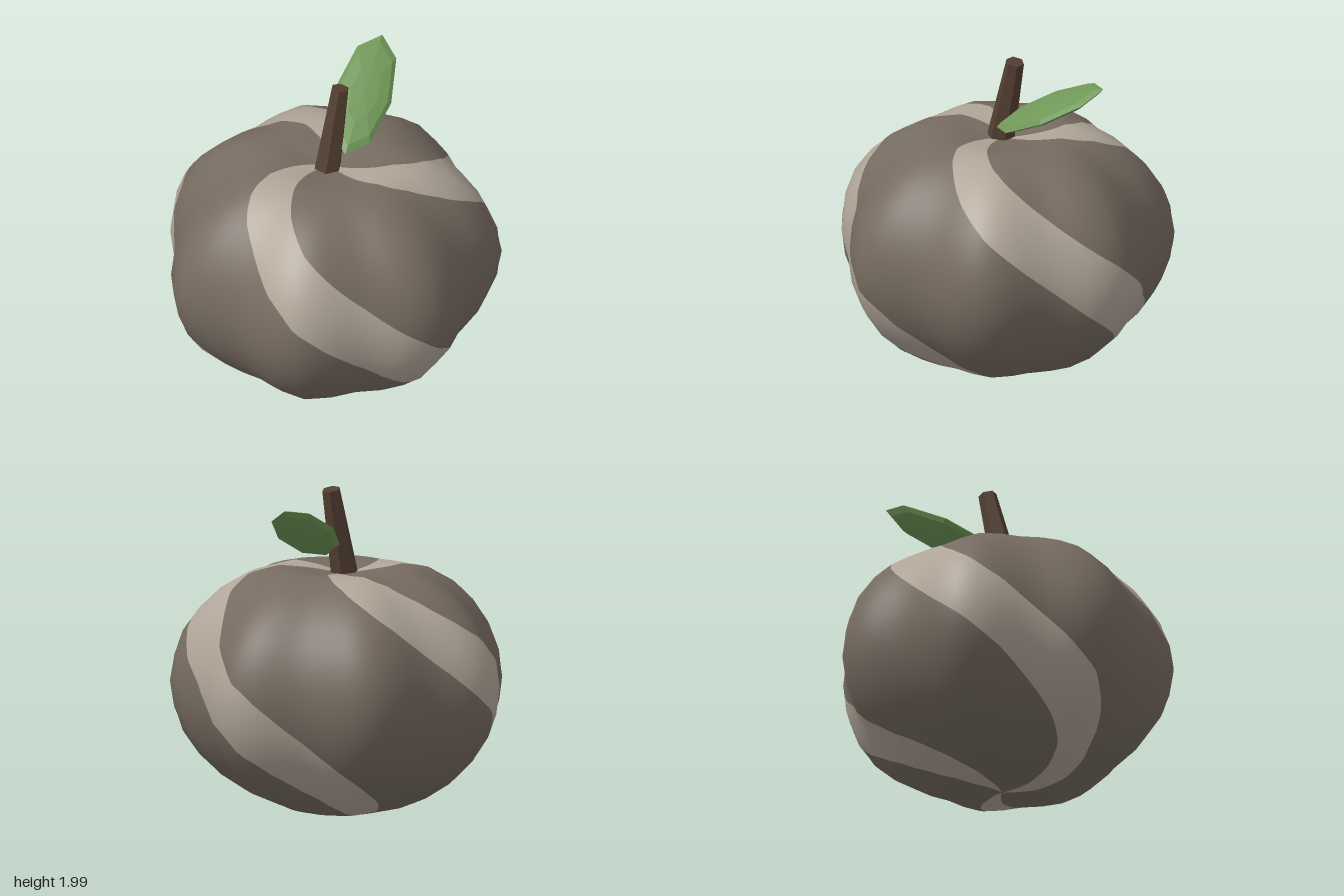
import * as THREE from 'three';

const RAD = Math.PI / 180;
const COLS = 28, ROWS = 16; // facets around and up the fruit
const CENTER_X = -0.04, CENTER_Y = 0.8;

// Seven-lobed flattened globe with a dimple on top; angle runs from +z towards +x
function globePoint(angle, lat) {
  const r = 0.977 * Math.cos(lat);
  const lobed = r * (1 + 0.05 * Math.cos(7 * (angle - Math.PI / 2)));
  const dimple = lat > 0 ? 0.147 * Math.exp(-r * r / 0.119) : 0;
  return new THREE.Vector3(
    CENTER_X + lobed * Math.sin(angle),
    CENTER_Y + 0.8 * Math.sin(lat) - dimple,
    lobed * Math.cos(angle));
}

// Same globe, with straight facets between its coarse columns and rows
function facetPoint(angle, lat) {
  const du = 2 * Math.PI / COLS, dv = Math.PI / ROWS;
  const u = (angle - Math.PI / 2) / du, v = lat / dv;
  const i = Math.floor(u), j = Math.floor(v + 1e-6);
  const corner = (a, b) => globePoint(Math.PI / 2 + a * du, THREE.MathUtils.clamp(b * dv, -Math.PI / 2, Math.PI / 2));
  const low = corner(i, j).lerp(corner(i + 1, j), u - i);
  const high = corner(i, j + 1).lerp(corner(i + 1, j + 1), u - i);
  return low.lerp(high, v - j);
}

// Smooth normal of the globe
function globeNormal(angle, lat) {
  const l = THREE.MathUtils.clamp(lat, -89 * RAD, 89 * RAD), e = 0.005;
  const across = globePoint(angle + e, l).sub(globePoint(angle - e, l));
  const up = globePoint(angle, l + e).sub(globePoint(angle, l - e));
  return across.cross(up).normalize();
}

// Pole-to-pole band that turns one degree for each degree of latitude
function spiralBand(start, end) {
  const cols = Math.ceil((end - start) / 2.5), rows = ROWS * 4;
  const positions = [], normals = [], index = [];
  for (let j = 0; j <= rows; j++) {
    const lat = -90 + 180 * j / rows;
    for (let i = 0; i <= cols; i++) {
      const angle = start + (end - start) * i / cols - lat;
      positions.push(...facetPoint(angle * RAD, lat * RAD).toArray());
      normals.push(...globeNormal(angle * RAD, lat * RAD).toArray());
      if (i < cols && j < rows) {
        const a = j * (cols + 1) + i, b = a + cols + 1;
        index.push(a, a + 1, b + 1, a, b + 1, b);
      }
    }
  }
  const geometry = new THREE.BufferGeometry();
  geometry.setAttribute('position', new THREE.Float32BufferAttribute(positions, 3));
  geometry.setAttribute('normal', new THREE.Float32BufferAttribute(normals, 3));
  geometry.setIndex(index);
  return geometry;
}

export function createModel() {
  const material = (name, color, flatShading = false) => {
    const m = new THREE.MeshStandardMaterial({ color, flatShading });
    m.name = name;
    return m;
  };
  const skin = material('darkSkin', 0x766b60);
  const pale = material('paleStripe', 0xb0a598);
  const bark = material('stemBrown', 0x543f32, true);
  const green = material('leafGreen', 0x6f9757, true);

  const model = new THREE.Group();
  model.name = 'stripedFruit';
  const add = (parent, name, geometry, mat) => {
    const mesh = new THREE.Mesh(geometry, mat);
    mesh.name = name;
    parent.add(mesh);
    return mesh;
  };

  // Fruit: three pale spiral stripes with three dark bands between them
  const fruit = new THREE.Group();
  fruit.name = 'fruit';
  model.add(fruit);
  for (let k = 0; k < 3; k++) {
    const turn = k * 120;
    add(fruit, 'stripe', spiralBand(turn - 54, turn - 21.5), pale);
    add(fruit, 'skinBand', spiralBand(turn - 21.5, turn + 66), skin);
  }

  // Leaning six-sided stem
  const base = new THREE.Vector3(-0.073, 1.42, 0), tip = new THREE.Vector3(0.058, 1.977, 0);
  const along = tip.clone().sub(base);
  const stem = add(model, 'stem', new THREE.CylinderGeometry(0.055, 0.086, along.length(), 6), bark);
  stem.position.copy(base).lerp(tip, 0.5);
  stem.rotation.z = -Math.atan2(along.x, along.y);

  // Leaf: a flattened low-poly ball spread along its length and width
  const length = new THREE.Vector3(0.335, 0.19, -0.12);
  const width = new THREE.Vector3(0.075, -0.04, 0.15);
  const thickness = width.clone().cross(length).setLength(0.04);
  const leafGeometry = new THREE.SphereGeometry(1, 8, 6);
  leafGeometry.applyMatrix4(new THREE.Matrix4().makeBasis(length, thickness, width));
  add(model, 'leaf', leafGeometry, green).position.set(0.325, 1.75, -0.03);

  return model;
}
